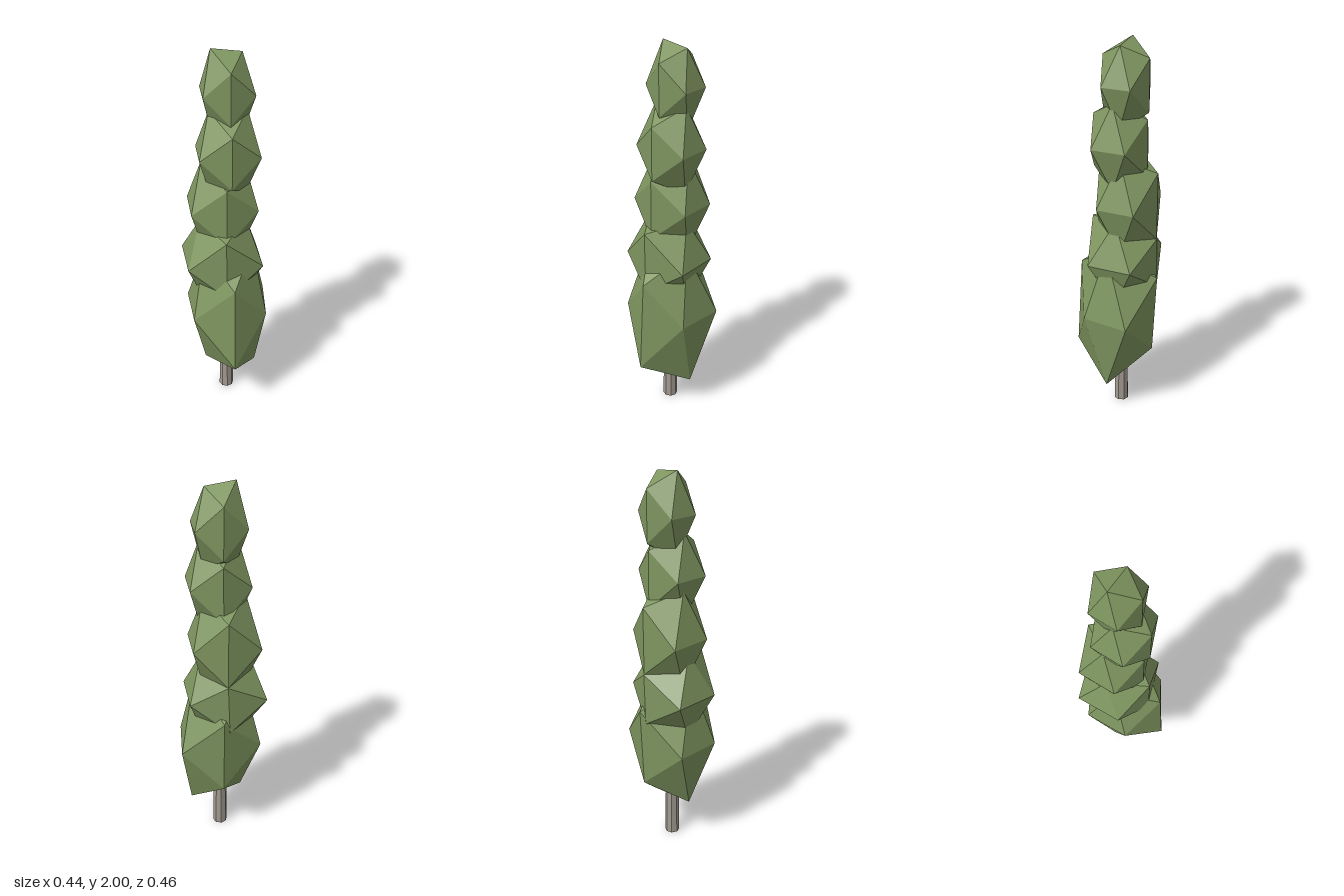
import * as THREE from 'three';

const leafMaterial = new THREE.MeshStandardMaterial({ color: 0x7f9660, flatShading: true });
const barkMaterial = new THREE.MeshStandardMaterial({ color: 0xa39b92, flatShading: true });

// One leafy clump: a stretched icosahedron. Corners are keyed by the signs of
// their direction (x,y,z), and those listed in `moved` go to the given point.
function clump(name, center, radii, moved = {}) {
  const geometry = new THREE.IcosahedronGeometry(1, 0);
  const position = geometry.attributes.position;
  const sign = (v) => (Math.abs(v) < 0.01 ? 0 : Math.sign(v));
  for (let i = 0; i < position.count; i++) {
    const d = [position.getX(i), position.getY(i), position.getZ(i)];
    const p = moved[d.map(sign).join()] ?? d.map((v, k) => center[k] + v * radii[k]);
    position.setXYZ(i, ...p);
  }
  geometry.computeVertexNormals();
  const mesh = new THREE.Mesh(geometry, leafMaterial);
  mesh.name = name;
  return mesh;
}

export function createModel() {
  const tree = new THREE.Group();
  tree.name = 'tree';

  // Trunk
  const trunk = new THREE.Mesh(new THREE.CylinderGeometry(0.032, 0.039, 0.5, 8), barkMaterial);
  trunk.name = 'trunk';
  trunk.position.set(-0.002, 0.25, -0.028);
  tree.add(trunk);

  // Foliage, stacked from the bottom up
  tree.add(
    clump('foliageBase', [0.005, 0.585, 0], [0.236, 0.445, 0.255], {
      '0,-1,1': [0.01, 0.33, 0.228],
      '0,1,1': [0.01, 0.82, 0.197],
      '0,-1,-1': [0.01, 0.38, -0.21],
      '0,1,-1': [0.01, 0.81, -0.229],
      '-1,-1,0': [-0.12, 0.235, -0.01],
      '1,-1,0': [0.155, 0.18, -0.01],
      '1,0,-1': [0.218, 0.59, -0.145],
      '1,0,1': [0.193, 0.59, 0.098],
      '-1,0,1': [-0.19, 0.59, 0.105],
      '-1,0,-1': [-0.2, 0.59, -0.13],
    }),
    clump('foliageLower', [-0.02, 0.89, -0.035], [0.223, 0.27, 0.212], {
      '0,1,1': [-0.025, 1.08, 0.145],
      '0,1,-1': [-0.01, 1.02, -0.215],
      '-1,0,-1': [-0.22, 0.89, -0.16],
      '1,0,1': [0.172, 0.89, 0.083],
    }),
    clump('foliageMiddle', [-0.017, 1.195, -0.055], [0.196, 0.295, 0.185], {
      '0,1,-1': [-0.01, 1.37, -0.213],
      '0,-1,-1': [-0.01, 1.02, -0.213],
      '-1,0,-1': [-0.185, 1.19, -0.162],
    }),
    clump('foliageUpper', [0.006, 1.5, -0.021], [0.173, 0.255, 0.165], {
      '0,-1,-1': [0.005, 1.35, -0.165],
    }),
    clump('foliageTop', [0.007, 1.795, -0.05], [0.143, 0.24, 0.138], {
      '-1,1,0': [-0.07, 2, -0.05],
      '1,1,0': [0.075, 1.98, -0.05],
    }),
  );
  return tree;
}
